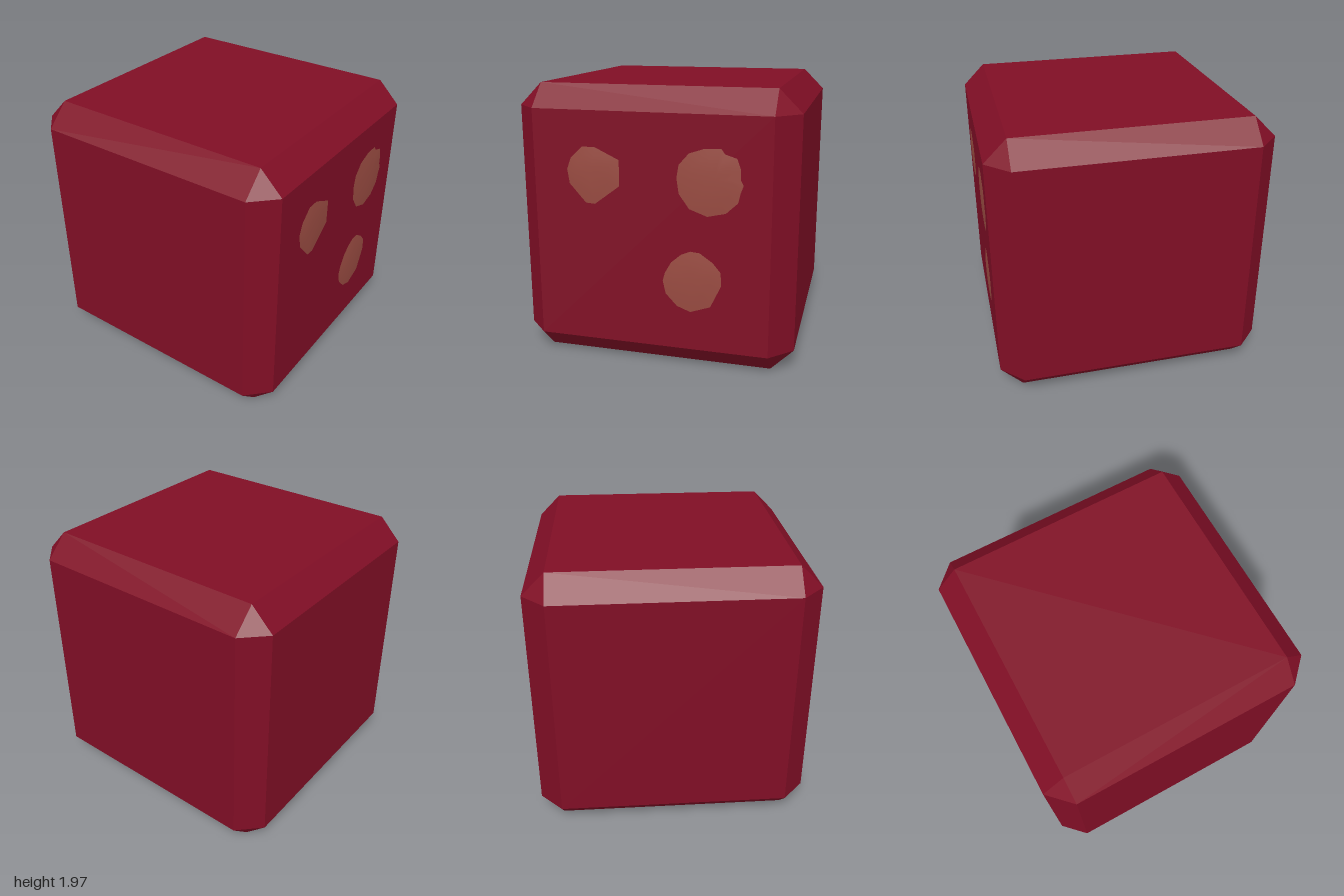
import * as THREE from 'three';
import { ConvexGeometry } from 'three/addons/geometries/ConvexGeometry.js';

const crimson = new THREE.MeshStandardMaterial({ color: 0x800e25 });
crimson.name = 'crimson';
const clay = new THREE.MeshStandardMaterial({ color: 0x994b41 });
clay.name = 'clay brown';

// Box with every edge and corner chamfered: each corner becomes a small triangle
function chamferedBox(min, max, c) {
  const points = [];
  for (const sx of [0, 1]) for (const sy of [0, 1]) for (const sz of [0, 1]) {
    const s = [sx, sy, sz];
    for (let outer = 0; outer < 3; outer++) {
      const p = s.map((side, k) => {
        const inset = k === outer ? 0 : c;
        return side ? max[k] - inset : min[k] + inset;
      });
      points.push(new THREE.Vector3(...p));
    }
  }
  return new ConvexGeometry(points);
}

// Shallow dome facing +x over a hand-cut outline of [z, y] points
function spotGeometry(outline, faceX) {
  const n = outline.length;
  const cz = outline.reduce((sum, p) => sum + p[0], 0) / n;
  const cy = outline.reduce((sum, p) => sum + p[1], 0) / n;
  const rings = [[1, 0.001], [0.65, 0.007], [0.3, 0.009]];
  const pos = [], index = [];
  for (const [scale, lift] of rings) {
    for (const [z, y] of outline) {
      pos.push(faceX + lift, cy + (y - cy) * scale, cz + (z - cz) * scale);
    }
  }
  pos.push(faceX + 0.0095, cy, cz);
  const top = rings.length * n;
  for (let i = 0; i < n; i++) {
    const j = (i + 1) % n;
    for (let r = 0; r < rings.length - 1; r++) {
      const a = r * n, b = a + n;
      index.push(a + j, a + i, b + i, a + j, b + i, b + j);
    }
    index.push(top - n + j, top - n + i, top);
  }
  const g = new THREE.BufferGeometry();
  g.setAttribute('position', new THREE.Float32BufferAttribute(pos, 3));
  g.setIndex(index);
  g.computeVertexNormals();
  return g;
}

// Irregular spot outlines, [z, y]
const spots = {
  frontSpot: [[0.47, 1.56], [0.38, 1.56], [0.21, 1.48], [0.21, 1.3], [0.39, 1.165],
    [0.455, 1.17], [0.57, 1.3], [0.585, 1.4], [0.555, 1.48]],
  backSpot: [[-0.38, 1.585], [-0.49, 1.59], [-0.515, 1.555], [-0.595, 1.53], [-0.62, 1.46],
    [-0.62, 1.39], [-0.64, 1.355], [-0.62, 1.3], [-0.605, 1.235], [-0.525, 1.16],
    [-0.4, 1.13], [-0.275, 1.175], [-0.205, 1.275], [-0.19, 1.38], [-0.205, 1.47], [-0.275, 1.55]],
  lowerSpot: [[-0.285, 0.878], [-0.35, 0.872], [-0.44, 0.81], [-0.495, 0.745], [-0.5, 0.65],
    [-0.46, 0.565], [-0.425, 0.49], [-0.285, 0.44], [-0.19, 0.475], [-0.11, 0.56],
    [-0.09, 0.65], [-0.105, 0.71], [-0.15, 0.79], [-0.22, 0.85]],
};

export function createModel() {
  const group = new THREE.Group();
  group.name = 'spottedCube';

  const faceX = 0.987;
  const body = new THREE.Mesh(chamferedBox([-1, 0, -0.988], [faceX, 1.968, 0.988], 0.16), crimson);
  body.name = 'cubeBody';
  group.add(body);

  // Three raised spots on the left side
  for (const [name, outline] of Object.entries(spots)) {
    const spot = new THREE.Mesh(spotGeometry(outline, faceX), clay);
    spot.name = name;
    group.add(spot);
  }
  return group;
}
